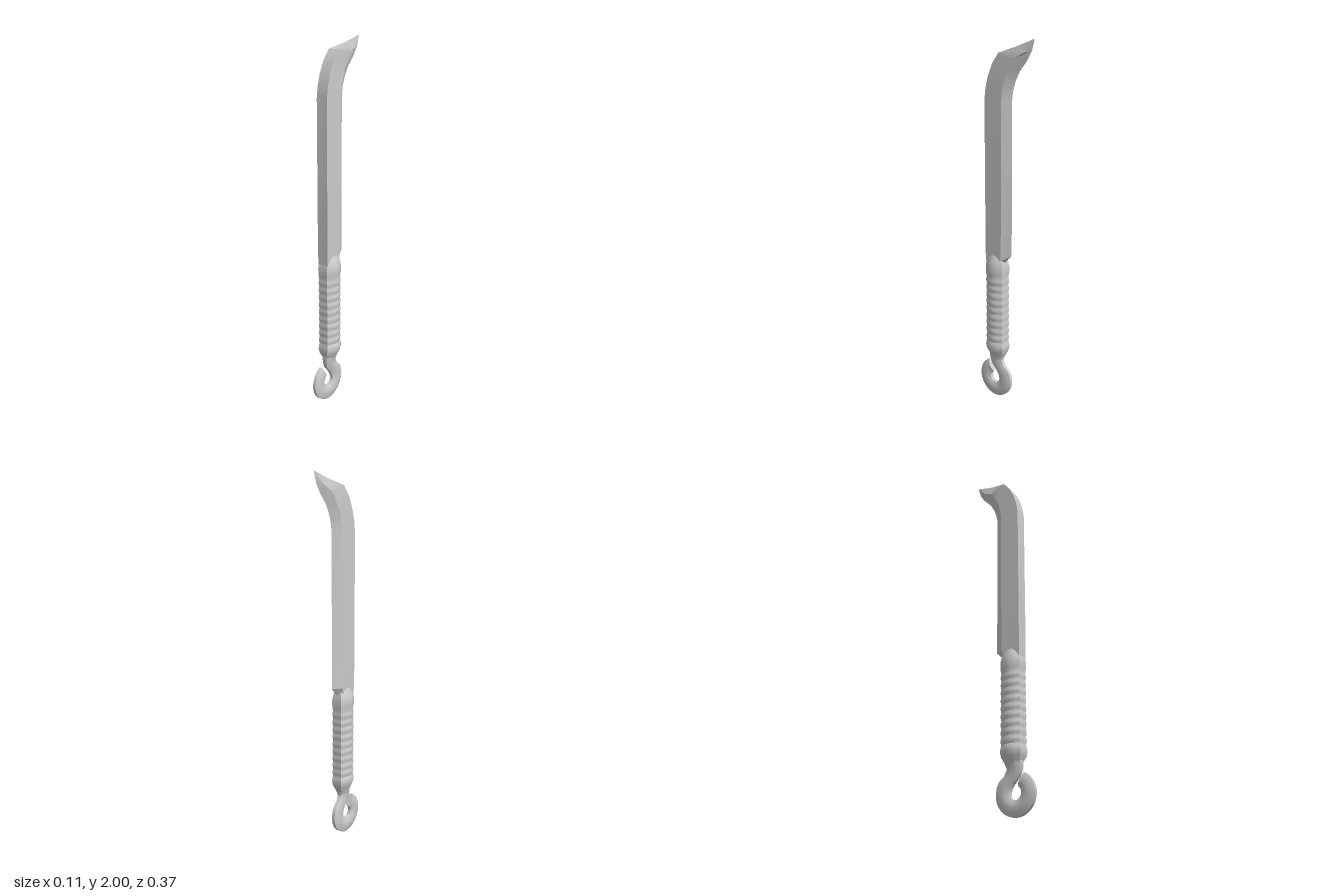
import * as THREE from 'three';
import { toCreasedNormals } from 'three/addons/utils/BufferGeometryUtils.js';

const material = new THREE.MeshStandardMaterial({ color: 0xcccccc });

// Skin a list of equal-length rings of [x, y, z] points and cap both ends.
function loft(name, rings, crease) {
  const n = rings[0].length;
  const pos = rings.flat(2);
  const index = [];
  for (let r = 0; r < rings.length - 1; r++) {
    for (let i = 0; i < n; i++) {
      const a = r * n + i, b = r * n + (i + 1) % n;
      index.push(a, b, b + n, a, b + n, a + n);
    }
  }
  const last = (rings.length - 1) * n;
  for (let i = 1; i < n - 1; i++) {
    index.push(0, i + 1, i, last, last + i, last + i + 1);
  }
  // Turn the faces outward if the enclosed volume comes out negative.
  const point = (i) => new THREE.Vector3().fromArray(pos, i * 3);
  let volume = 0;
  for (let i = 0; i < index.length; i += 3) {
    volume += point(index[i]).dot(point(index[i + 1]).cross(point(index[i + 2])));
  }
  if (volume < 0) index.reverse();

  const geometry = new THREE.BufferGeometry();
  geometry.setAttribute('position', new THREE.Float32BufferAttribute(pos, 3));
  geometry.setIndex(index);
  const mesh = new THREE.Mesh(toCreasedNormals(geometry, crease), material);
  mesh.name = name;
  return mesh;
}

// Blade: five-sided section of flat spine, parallel cheeks and a bevel to the edge.
function makeBlade() {
  // [spine z, y, half width], [bevel z, y, half width], [edge z, y]
  const stations = [
    [[0.112, 0.76, 0.028], [0.02, 0.76, 0.028], [0.008, 0.76]],
    [[0.113, 0.83, 0.031], [0.02, 0.83, 0.031], [0.002, 0.825]],
    [[0.115, 0.87, 0.033], [0.005, 0.87, 0.033], [-0.045, 0.872]],
    [[0.115, 1.70, 0.033], [0.0, 1.70, 0.033], [-0.045, 1.70]],
    [[0.107, 1.76, 0.033], [-0.005, 1.75, 0.033], [-0.053, 1.75]],
    [[0.09, 1.82, 0.033], [-0.017, 1.80, 0.032], [-0.07, 1.80]],
    [[0.062, 1.88, 0.033], [-0.04, 1.85, 0.029], [-0.095, 1.845]],
    [[0.02, 1.935, 0.032], [-0.075, 1.905, 0.025], [-0.14, 1.895]],
    [[-0.08, 1.966, 0.008], [-0.13, 1.935, 0.018], [-0.17, 1.942]],
    [[-0.184, 2.0, 0.0005], [-0.185, 1.998, 0.0005], [-0.186, 1.996]],
  ];
  const rings = stations.map(([s, b, e]) => [
    [s[2], s[1], s[0]], [b[2], b[1], b[0]], [0, e[1], e[0]],
    [-b[2], b[1], b[0]], [-s[2], s[1], s[0]],
  ]);
  return loft('blade', rings, 0.45);
}

// Grip: faceted oval section, ribbed along its length, with a flared collar at each end.
function makeGrip() {
  const half = [[0.03, 0.058], [0.043, 0.036], [0.052, 0.013], [0.052, -0.013], [0.043, -0.036], [0.03, -0.058]];
  const section = [...half, ...half.map(([x, z]) => [-x, z]).reverse()];
  const ring = (y, sx, sz) => section.map(([x, z]) => [x * sx, y, 0.057 + z * sz]);
  const rings = [ring(0.24, 0.5, 0.55), ring(0.27, 0.62, 0.78), ring(0.295, 0.9, 0.98), ring(0.32, 1.05, 1.06), ring(0.345, 1, 1)];
  const ribs = 9, start = 0.355, pitch = 0.042;
  for (let i = 0; i < ribs; i++) {
    for (const [t, s] of [[0, 0.91], [0.25, 0.98], [0.5, 1.01], [0.75, 0.98]]) {
      rings.push(ring(start + (i + t) * pitch, s, (1 + s) / 2));
    }
  }
  rings.push(ring(0.735, 0.92, 0.96), ring(0.755, 1, 1.02), ring(0.795, 1.04, 1.03),
    ring(0.82, 0.94, 0.96), ring(0.845, 0.78, 0.86), ring(0.87, 0.58, 0.75));
  return loft('grip', rings, 0.7);
}

// Pommel: a flat bar running out of the grip and curling round into an open eye.
function makePommel() {
  // [inner z, y], [outer z, y], x offset, half thickness
  const bars = [
    [[0.105, 0.31], [0.01, 0.31], 0, 0.034],
    [[0.105, 0.265], [0.017, 0.265], 0, 0.029],
    [[0.104, 0.235], [0.022, 0.235], 0, 0.024],
    [[0.092, 0.20], [0.004, 0.203], -0.002, 0.021],
    [[0.064, 0.168], [-0.022, 0.182], -0.003, 0.02],
    [[0.046, 0.142], [-0.035, 0.155], -0.004, 0.02],
  ];
  const steps = 22;
  for (let i = 0; i <= steps; i++) {
    const t = i / steps, a = t * 4.22;
    const at = (r) => [0.075 - r * Math.cos(a), 0.118 - r * Math.sin(a)];
    bars.push([at(0.034), at(0.115 - 0.008 * t * t), -0.004 - 0.005 * t, 0.02]);
  }
  const profile = [[0, 0.5], [0.25, 0.95], [0.5, 1], [0.78, 0.8], [1, 0.45]];
  const section = [...profile, ...profile.map(([u, x]) => [u, -x]).reverse()];
  const rings = bars.map(([p, q, dx, h]) => section.map(([u, x]) => [
    dx + x * h, p[1] + (q[1] - p[1]) * u, p[0] + (q[0] - p[0]) * u,
  ]));
  return loft('pommelEye', rings, 0.6);
}

export function createModel() {
  const model = new THREE.Group();
  model.name = 'hookedKnife';
  model.add(makeBlade(), makeGrip(), makePommel());
  return model;
}
